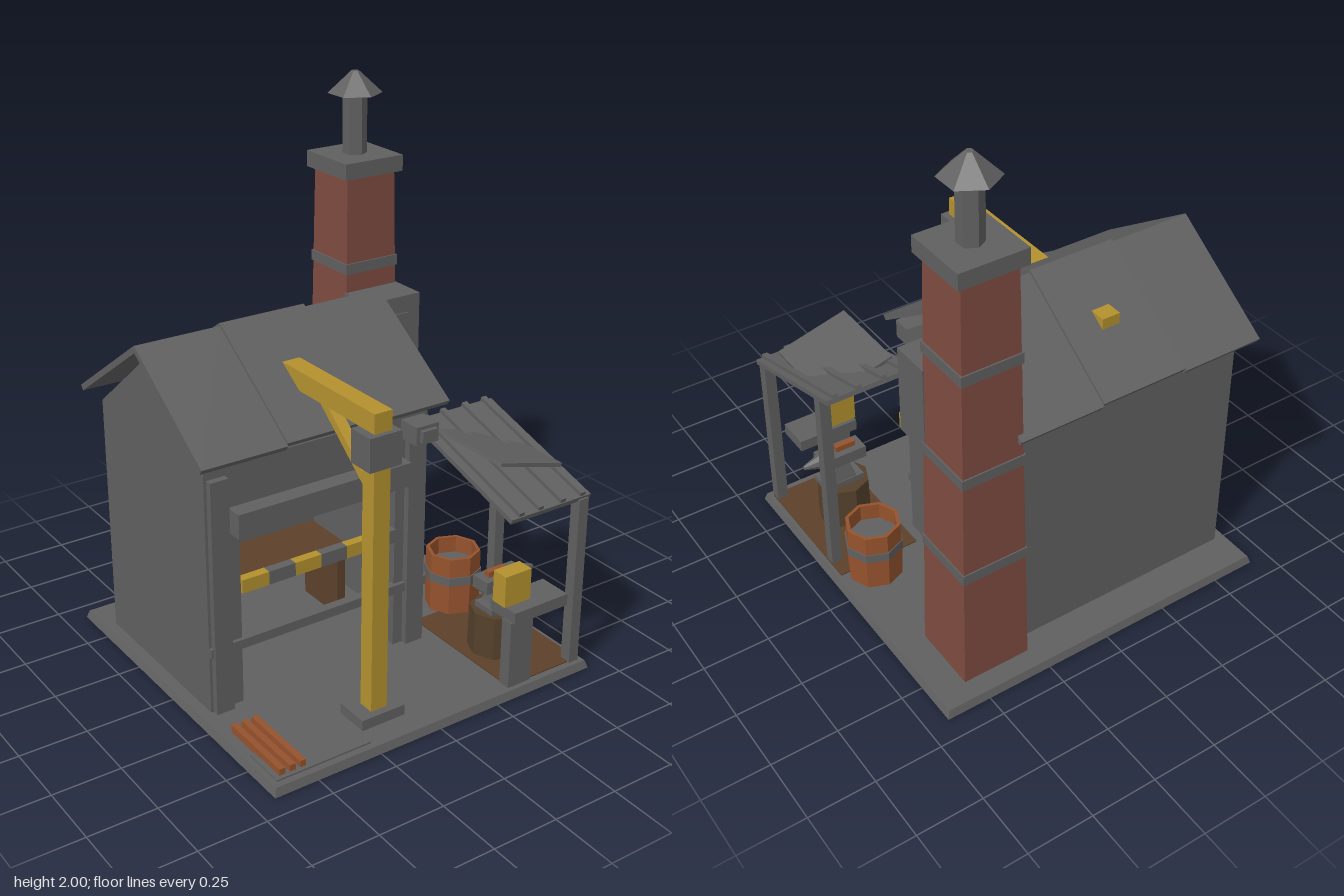
import * as THREE from 'three';

const mat = (name, color) => {
  const m = new THREE.MeshStandardMaterial({ color });
  m.name = name;
  return m;
};

export function createModel() {
  const root = new THREE.Group();
  root.name = 'forgeWorkshop';
  const grey = mat('grey metal', 0x606060);
  const yellow = mat('safety yellow', 0xb4912f);
  const brick = mat('brick red', 0x7e4b40);
  const orange = mat('rust orange', 0x95522d);
  const brown = mat('bench wood', 0x5c402a);
  const stumpWood = mat('stump wood', 0x54402b);

  const add = (name, geo, m, x = 0, y = 0, z = 0) => {
    const mesh = new THREE.Mesh(geo, m);
    mesh.name = name;
    mesh.position.set(x, y, z);
    root.add(mesh);
    return mesh;
  };
  // Box given by its limits on each axis
  const box = (name, m, x0, x1, y0, y1, z0, z1) =>
    add(name, new THREE.BoxGeometry(x1 - x0, y1 - y0, z1 - z0), m, (x0 + x1) / 2, (y0 + y1) / 2, (z0 + z1) / 2);
  // Square block whose top is narrower or wider than its foot
  const taper = (name, m, x, z, y0, y1, half0, half1) => {
    const g = new THREE.BoxGeometry(2, y1 - y0, 2);
    const p = g.attributes.position;
    for (let i = 0; i < p.count; i++) {
      const h = p.getY(i) > 0 ? half1 : half0;
      p.setX(i, p.getX(i) * h);
      p.setZ(i, p.getZ(i) * h);
    }
    g.computeVertexNormals();
    return add(name, g, m, x, (y0 + y1) / 2, z);
  };
  // Sloping bar between two points in the z-y plane
  const slope = (name, m, x0, x1, [z0, y0], [z1, y1], thick) => {
    const dz = z1 - z0, dy = y1 - y0;
    const b = add(name, new THREE.BoxGeometry(x1 - x0, thick, Math.hypot(dz, dy)), m,
      (x0 + x1) / 2, (y0 + y1) / 2, (z0 + z1) / 2);
    b.rotation.x = -Math.atan2(dy, dz);
    return b;
  };
  // Upright prism with flat facets
  const prism = (name, m, rTop, rBottom, y0, y1, sides, x, z) => {
    const g = new THREE.CylinderGeometry(rTop, rBottom, y1 - y0, sides).toNonIndexed();
    g.computeVertexNormals();
    return add(name, g, m, x, (y0 + y1) / 2, z);
  };

  // Ground
  taper('groundSlab', grey, 0, 0, 0, 0.03, 0.67, 0.66);
  box('paver', grey, -0.64, -0.27, 0.03, 0.036, 0.47, 0.635);
  box('shelterFloor', brown, 0.32, 0.645, 0.03, 0.034, 0.1, 0.635);

  // House walls
  const gable = new THREE.Shape([[-0.185, 0.03], [-0.185, 0.945], [0.165, 1.225], [0.52, 0.945], [0.52, 0.03]]
    .map(([a, b]) => new THREE.Vector2(a, b)));
  for (const [name, x] of [['leftGable', 0.255], ['rightGable', -0.62]]) {
    const g = new THREE.ExtrudeGeometry(gable, { depth: 0.03, bevelEnabled: false });
    g.rotateY(Math.PI / 2);
    add(name, g, grey, x, 0, 0);
  }
  box('backWall', grey, -0.62, 0.285, 0.03, 0.945, -0.52, -0.49);
  const front = new THREE.Shape([[-0.62, 0.03], [-0.49, 0.03], [-0.49, 0.66], [0.15, 0.66], [0.15, 0.03],
    [0.285, 0.03], [0.285, 0.945], [-0.62, 0.945]].map(([a, b]) => new THREE.Vector2(a, b)));
  add('frontWall', new THREE.ExtrudeGeometry(front, { depth: 0.03, bevelEnabled: false }), grey, 0, 0, 0.155);
  box('leftFrontPost', grey, 0.19, 0.265, 0.03, 0.9, 0.17, 0.21);
  box('rightFrontPost', grey, -0.61, -0.54, 0.03, 0.91, 0.17, 0.21);
  box('frontLintel', grey, -0.53, 0.17, 0.70, 0.79, 0.18, 0.25);
  box('frontRail', grey, -0.62, 0.285, 0.25, 0.285, 0.165, 0.2);
  // Striped safety bar across the opening
  for (let i = 0; i < 6; i++) {
    const x = -0.49 + i * 0.1067;
    box('safetyBar', i % 2 ? grey : yellow, x, x + 0.1067, 0.46, 0.51, 0.16, 0.195);
  }

  // Roof sheets, the middle pair raised a little
  [[-0.665, -0.34, 0], [-0.34, 0, 0.011], [0, 0.325, 0]].forEach(([x0, x1, up]) => {
    slope('frontRoofSheet', grey, x0, x1, [-0.17, 1.265 + up], [0.25, 0.98 + up], 0.022);
    slope('backRoofSheet', grey, x0, x1, [-0.16, 1.265 + up], [-0.585, 0.98 + up], 0.022);
  });

  // Bench inside
  box('benchTop', brown, -0.49, 0.135, 0.285, 0.33, -0.32, -0.1);
  box('benchLeg', brown, 0.1, 0.135, 0.03, 0.285, -0.32, -0.1);
  box('brickHearth', brick, -0.49, -0.335, 0.03, 0.285, -0.32, -0.1);
  box('wallShelf', brown, -0.44, 0.065, 0.41, 0.455, -0.49, -0.36);

  // Lamp on the front wall
  box('lampBox', grey, 0.17, 0.265, 0.86, 0.93, 0.185, 0.275);
  box('lampLens', grey, 0.185, 0.25, 0.873, 0.917, 0.275, 0.292);

  // Side window
  box('windowPane', grey, 0.285, 0.29, 0.38, 0.61, -0.3, -0.04);
  for (const [y0, y1] of [[0.365, 0.39], [0.595, 0.62]])
    box('windowFrame', grey, 0.285, 0.297, y0, y1, -0.315, -0.02);
  for (const [z0, z1] of [[-0.315, -0.29], [-0.045, -0.02]])
    box('windowFrame', grey, 0.285, 0.297, 0.39, 0.595, z0, z1);

  // Chimney
  const cx = 0.418, cz = -0.455;
  taper('chimneyStack', brick, cx, cz, 0.03, 1.64, 0.13, 0.104);
  [[0.5, 0.127], [0.9, 0.121], [1.3, 0.115]].forEach(([y, h]) =>
    taper('chimneyBand', grey, cx, cz, y - 0.02, y + 0.02, h, h));
  taper('chimneyCap', grey, cx, cz, 1.64, 1.70, 0.126, 0.126);
  prism('flue', grey, 0.045, 0.045, 1.70, 1.93, 6, cx, cz);
  prism('flueHat', grey, 0.014, 0.1, 1.92, 2.0, 6, cx, cz);

  // Hood box on the chimney front
  box('hoodBox', grey, 0.302, 0.535, 0.88, 1.21, -0.35, -0.2);
  box('hoodStripe', yellow, 0.30, 0.535, 0.885, 0.945, -0.2, -0.193);
  box('hoodSlot', grey, 0.35, 0.48, 1.115, 1.145, -0.2, -0.194);
  box('hoodUnderside', brown, 0.32, 0.52, 0.86, 0.88, -0.32, -0.23);
  box('hotBox', orange, 0.285, 0.368, 0.845, 0.91, -0.23, -0.167);

  // Crane
  box('craneFoot', grey, -0.255, -0.08, 0.03, 0.07, 0.435, 0.565);
  box('cranePost', yellow, -0.2, -0.135, 0.07, 1.1, 0.475, 0.537);
  box('craneCollar', grey, -0.23, -0.105, 0.98, 1.1, 0.452, 0.556);
  box('craneBoom', yellow, -0.2, -0.13, 1.1, 1.17, -0.4, 0.537);
  slope('craneBrace', yellow, -0.188, -0.147, [0.48, 0.895], [0.21, 1.115], 0.03);

  // Rods on the ground
  for (const x of [-0.61, -0.57, -0.53])
    box('metalRod', orange, x - 0.011, x + 0.011, 0.03, 0.06, 0.32, 0.62);

  // Lean-to shelter
  slope('shelterRoof', grey, 0.3, 0.655, [0.635, 0.685], [0.085, 0.85], 0.018);
  for (const x of [0.345, 0.43, 0.53, 0.62])
    slope('shelterRib', grey, x - 0.011, x + 0.011, [0.635, 0.7], [0.085, 0.865], 0.018);
  const sheet = add('looseSheet', new THREE.BoxGeometry(0.285, 0.014, 0.34), grey, 0.473, 0.81, 0.36);
  sheet.rotation.z = -0.26;
  box('frontShelterPost', grey, 0.6, 0.642, 0.03, 0.685, 0.6, 0.643);
  box('backShelterPost', grey, 0.6, 0.642, 0.03, 0.815, 0.17, 0.21);

  // Work stand
  box('standLeg', grey, 0.315, 0.415, 0.03, 0.29, 0.595, 0.643);
  box('standTop', grey, 0.32, 0.56, 0.29, 0.335, 0.525, 0.655);
  box('standBox', yellow, 0.315, 0.43, 0.335, 0.455, 0.54, 0.605);

  // Stump and anvil
  prism('stump', stumpWood, 0.1, 0.105, -0.002, 0.2, 8, 0.455, 0.405);
  box('anvilFoot', grey, 0.39, 0.55, 0.2, 0.222, 0.357, 0.453);
  taper('anvilWaist', grey, 0.465, 0.405, 0.222, 0.295, 0.045, 0.026);
  box('anvilTop', grey, 0.37, 0.55, 0.29, 0.338, 0.365, 0.445);
  const horn = prism('anvilHorn', grey, 0.008, 0.028, 0, 0.065, 8, 0, 0);
  horn.rotation.z = -Math.PI / 2;
  horn.position.set(0.58, 0.317, 0.405);
  box('hotBar', orange, 0.4, 0.48, 0.338, 0.36, 0.393, 0.417);

  // Open barrel
  const bx = 0.52, bz = 0.065;
  const wall = new THREE.LatheGeometry([[0.09, 0.045], [0.09, 0.265], [0.103, 0.265], [0.106, 0.15], [0.103, 0.03]]
    .reverse().map(([r, y]) => new THREE.Vector2(r, y)), 8).toNonIndexed();
  wall.computeVertexNormals();
  const side = orange.clone();
  side.side = THREE.DoubleSide;
  add('barrel', wall, side, bx, 0, bz);
  prism('barrelContents', grey, 0.09, 0.09, 0.03, 0.2, 8, bx, bz);
  prism('barrelBand', grey, 0.109, 0.109, 0.155, 0.19, 8, bx, bz);

  return root;
}
